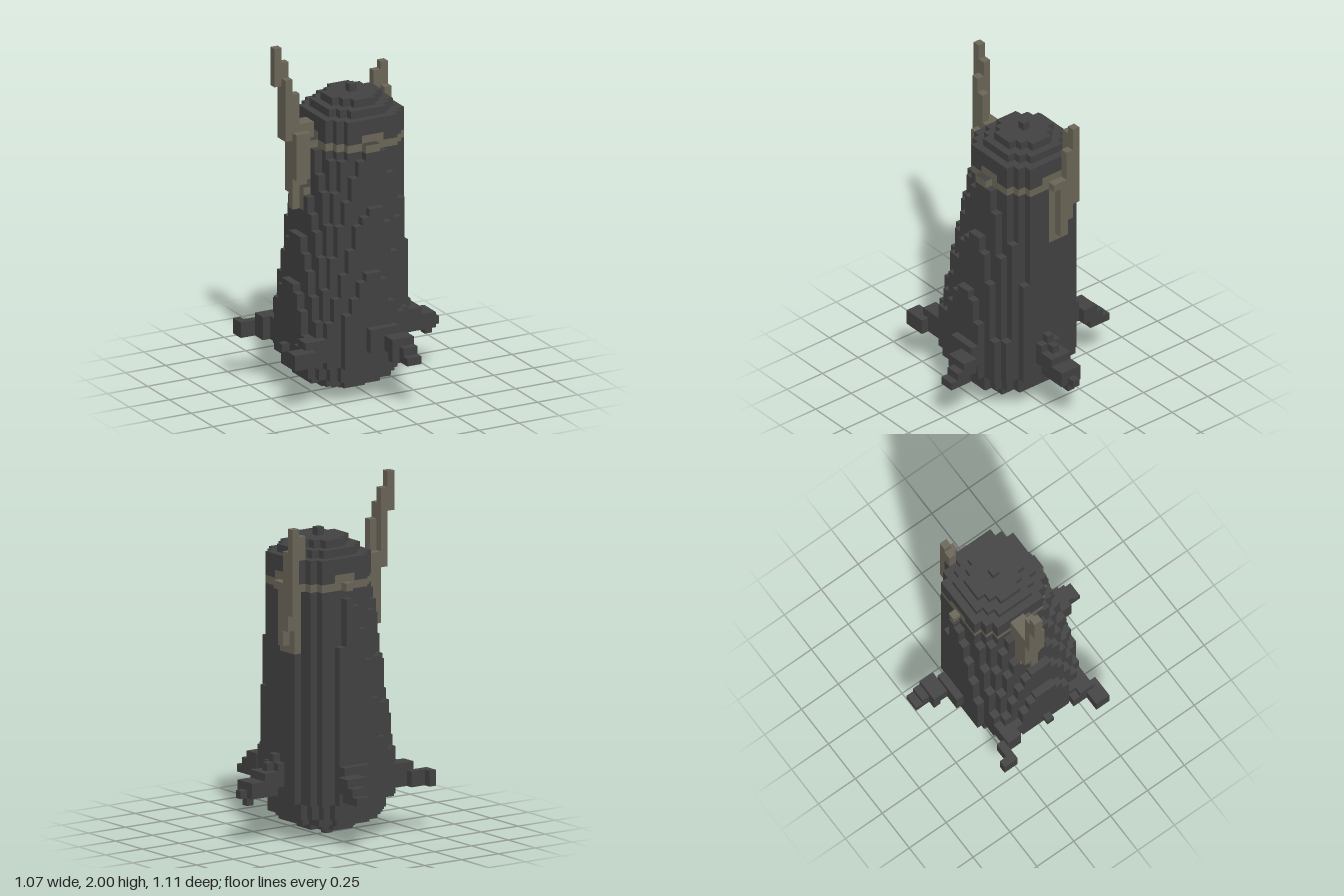
import * as THREE from 'three';

const S = 2 / 45; // edge of one block

export function createModel() {
  const bark = new THREE.MeshStandardMaterial({ color: 0x424242 });
  bark.name = 'dark bark';
  const moss = new THREE.MeshStandardMaterial({ color: 0x6b6658 });
  moss.name = 'taupe wood';

  // Block grid: key -> [x, y, z, part]
  const cells = new Map();
  const key = (x, y, z) => `${x},${y},${z}`;
  const put = (x, y, z, part) => {
    if (!cells.has(key(x, y, z))) cells.set(key(x, y, z), [x, y, z, part]);
  };
  // Fill an inclusive range of blocks
  const fill = (part, x0, x1, y0, y1, z0, z1) => {
    for (let x = x0; x <= x1; x++)
      for (let y = y0; y <= y1; y++)
        for (let z = z0; z <= z1; z++) put(x, y, z, part);
  };

  // Trunk: leaning tapered column with a rounded foot and crown
  const foot = [0.3, 3.35, 5.7, 6.8, 6.8];
  const crown = { 36: 4.6, 37: 3.35, 38: 0.3 };
  for (let y = 0; y <= 38; y++) {
    const t = Math.min(1, Math.max(0, (y - 9.8) / 24));
    const cx = -1.5 + 2 * t, cz = -t;
    const r = foot[y] ?? crown[y] ?? 7.85 - 2 * t;
    for (let x = -10; x < 8; x++)
      for (let z = -9; z < 9; z++)
        if (Math.hypot(x + 0.5 - cx, z - cz) <= r) put(x, y, z, 'trunk');
  }

  // Roots: one on the left, a mirrored pair at the sides, two at the rear corners
  [[6, 6, 7, 9, -1, 1], [6, 6, 10, 10, 0, 0], [7, 7, 6, 8, -1, 1], [7, 7, 9, 9, 0, 0],
    [8, 8, 6, 8, -1, 1], [9, 10, 6, 7, -1, 1], [10, 10, 5, 5, 0, 0], [11, 11, 6, 6, 0, 0]]
    .forEach((b) => fill('leftRoot', ...b));
  const mirrored = (part, boxes) => boxes.forEach(([x0, x1, y0, y1, z0, z1]) => {
    fill('front' + part, x0, x1, y0, y1, z0, z1);
    fill('back' + part, x0, x1, y0, y1, -z1, -z0);
  });
  mirrored('Root', [[-2, 1, 7, 9, 8, 8], [0, 2, 7, 8, 9, 10], [0, 2, 6, 6, 10, 10],
    [1, 2, 6, 7, 11, 11], [1, 2, 6, 6, 12, 12]]);
  mirrored('CornerRoot', [[-7, -6, 6, 9, 4, 6], [-9, -8, 6, 8, 3, 6], [-10, -10, 6, 8, 5, 6],
    [-10, -10, 6, 7, 7, 7], [-11, -11, 6, 7, 7, 7]]);
  fill('frontCornerRoot', -12, -11, 6, 7, 6, 7);
  fill('frontCornerRoot', -10, -10, 6, 7, 4, 4);
  fill('backCornerRoot', -12, -12, 6, 7, -8, -7);
  fill('twig', -10, -10, 6, 6, 0, 0);

  // Tall branch on the right, short branch on the left
  [[-10, -10, 40, 44, -2, -2], [-9, -9, 33, 42, -2, -2], [-9, -9, 33, 40, -1, -1],
    [-8, -8, 24, 38, -1, -1], [-8, -8, 26, 34, -2, -2], [-8, -7, 28, 33, 0, 0],
    [-7, -7, 26, 34, -2, -1], [-6, -6, 32, 34, -2, -1]]
    .forEach((b) => fill('rightBranch', ...b));
  [[6, 6, 29, 39, -4, -4], [5, 5, 32, 38, -4, -4], [6, 6, 27, 36, -3, -3],
    [5, 5, 33, 35, -3, -3], [6, 6, 25, 32, -2, -2], [6, 6, 32, 32, -1, -1]]
    .forEach((b) => fill('leftBranch', ...b));

  // Knots on the band
  fill('knot', 0, 0, 32, 32, 5, 5);
  fill('knot', 0, 0, 32, 32, -7, -7);

  // Band around the trunk, with a bulge on each side and a patch under each branch
  const isBand = (x, y, z, up) => {
    if (up) return false;
    if (y === 32) return true;
    if (y === 33) return (Math.abs(x) <= 1 && Math.abs(z + 1) >= 4) || (Math.abs(z + 1) <= 1 && Math.abs(x) >= 4);
    return y >= 24 && y < 32 && ((x >= 5 && z >= -3 && z <= -1) || (x <= -6 && z >= -2 && z <= 0));
  };

  // Collect the exposed block faces of every part
  const faces = {};
  for (const [x, y, z, part] of cells.values()) {
    for (let axis = 0; axis < 3; axis++) {
      for (const sign of [-1, 1]) {
        const n = [0, 0, 0];
        n[axis] = sign;
        if (cells.has(key(x + n[0], y + n[1], z + n[2]))) continue;
        const name = part === 'trunk' && isBand(x, y, z, axis === 1) ? 'band' : part;
        const c = [x + 0.5, y + 0.5, z];
        const u = (axis + 1) % 3, v = (axis + 2) % 3;
        const corner = (a, b) => {
          const p = [...c];
          p[axis] += sign / 2;
          p[u] += a / 2;
          p[v] += (b * sign) / 2;
          return p.map((q) => q * S);
        };
        const [a, b, d, e] = [corner(-1, -1), corner(1, -1), corner(1, 1), corner(-1, 1)];
        (faces[name] ??= []).push(...a, ...b, ...d, ...a, ...d, ...e);
      }
    }
  }

  const group = new THREE.Group();
  group.name = 'treeStump';
  for (const [name, pos] of Object.entries(faces)) {
    const geo = new THREE.BufferGeometry();
    geo.setAttribute('position', new THREE.Float32BufferAttribute(pos, 3));
    geo.computeVertexNormals();
    const mesh = new THREE.Mesh(geo, /Branch|knot|band/.test(name) ? moss : bark);
    mesh.name = name;
    group.add(mesh);
  }
  return group;
}
